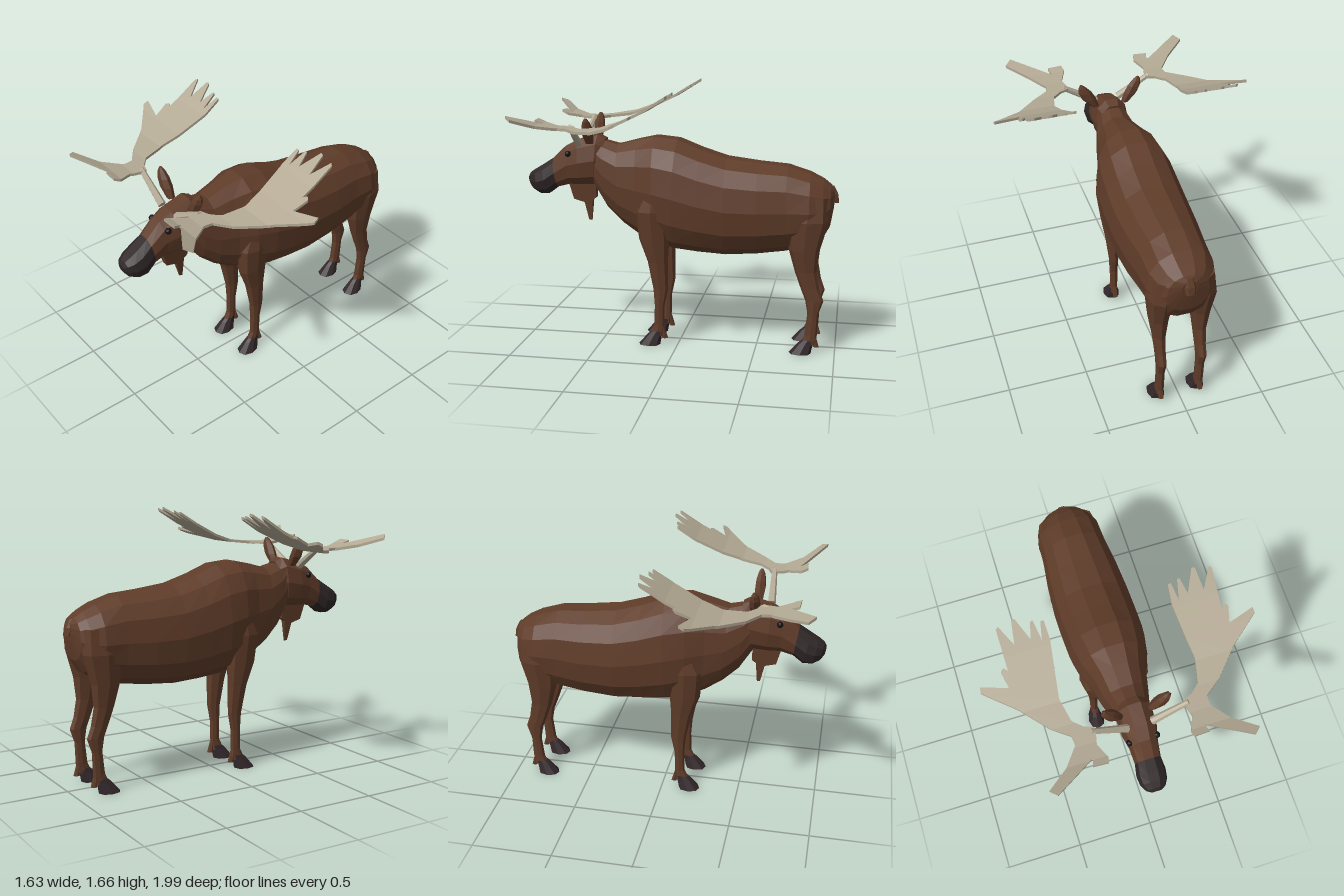
import * as THREE from 'three';

const mat = (name, color) => Object.assign(new THREE.MeshStandardMaterial({ color }), { name });
const V = (x, y, z) => new THREE.Vector3(x, y, z);

// Faceted skin over rings { c, u, v }; the rings advance along u x v.
function loft(rings, sides = 12, power = 0.88) {
  const pos = [], idx = [], n = rings.length;
  const bulge = (t) => Math.sign(t) * Math.pow(Math.abs(t), power);
  for (const { c, u, v } of rings) {
    for (let i = 0; i < sides; i++) {
      const a = (i / sides) * Math.PI * 2;
      const p = c.clone().addScaledVector(u, bulge(Math.cos(a))).addScaledVector(v, bulge(Math.sin(a)));
      pos.push(p.x, p.y, p.z);
    }
  }
  for (let r = 0; r < n - 1; r++) {
    for (let i = 0; i < sides; i++) {
      const j = (i + 1) % sides, a = r * sides, b = a + sides;
      idx.push(a + i, a + j, b + i, a + j, b + j, b + i);
    }
  }
  const end = n * sides, last = end - sides;
  pos.push(...rings[0].c.toArray(), ...rings[n - 1].c.toArray());
  for (let i = 0; i < sides; i++) {
    const j = (i + 1) % sides;
    idx.push(end, j, i, end + 1, last + i, last + j);
  }
  const g = new THREE.BufferGeometry();
  g.setAttribute('position', new THREE.Float32BufferAttribute(pos, 3));
  g.setIndex(idx);
  return flat(g);
}

function flat(g) {
  const out = g.index ? g.toNonIndexed() : g;
  out.computeVertexNormals();
  return out;
}

// Sections running towards +z: [topZ, topY, bottomZ, bottomY, halfWidth]
const trunk = (rows, sides, power) => loft(rows.map(([tz, ty, bz, by, w]) => ({
  c: V(0, (ty + by) / 2, (tz + bz) / 2), u: V(w, 0, 0), v: V(0, (ty - by) / 2, (tz - bz) / 2),
})), sides, power);

// Sections running downwards: [y, frontZ, backZ, innerX, outerX]
const limb = (rows, side, sides = 8, power = 0.85) => loft(rows.map(([y, zf, zb, xi, xo]) => ({
  c: V(side * (xi + xo) / 2, y, (zf + zb) / 2), u: V((xo - xi) / 2, 0, 0), v: V(0, 0, (zf - zb) / 2),
})), sides, power);

// Keep the part of a polygon of [x, z] points on one side of a z line
function clip(poly, z, sign) {
  const out = [];
  poly.forEach((p, i) => {
    const q = poly[(i + 1) % poly.length];
    const dp = (p[1] - z) * sign, dq = (q[1] - z) * sign;
    if (dp >= 0) out.push(p);
    if (dp * dq < 0) out.push([p[0] + (q[0] - p[0]) * dp / (dp - dq), z]);
  });
  return out;
}

// Antler outline seen from above, and its height along z
const PALM = [
  [0.265, 0.615], [0.32, 0.595], [0.375, 0.545], [0.405, 0.405], [0.375, 0.2], [0.36, 0.1],
  [0.365, 0.0], [0.385, 0.0], [0.405, 0.09], [0.425, -0.015], [0.44, -0.01], [0.465, 0.07],
  [0.52, -0.045], [0.54, -0.04], [0.56, 0.075], [0.62, -0.03], [0.635, -0.02], [0.635, 0.19],
  [0.655, 0.17], [0.675, 0.185], [0.655, 0.275], [0.81, 0.23], [0.815, 0.26], [0.64, 0.4],
  [0.5, 0.555], [0.4, 0.63], [0.395, 0.685], [0.48, 0.8], [0.605, 0.905], [0.565, 0.945],
  [0.325, 0.79], [0.34, 0.84], [0.25, 0.845], [0.24, 0.81], [0.28, 0.72], [0.265, 0.655],
];
const BENDS = [[-0.05, 1.645], [0.12, 1.54], [0.29, 1.458], [0.42, 1.415], [0.56, 1.4], [0.7, 1.405], [0.8, 1.425], [0.95, 1.495]];

function palmBand(i, side) {
  const [z0, y0] = BENDS[i], [z1, y1] = BENDS[i + 1];
  const poly = clip(clip(PALM, z0, 1), z1, -1);
  const shape = new THREE.Shape(poly.map(([x, z]) => new THREE.Vector2(side * x, -z)));
  const g = new THREE.ExtrudeGeometry(shape, { depth: 0.017, bevelEnabled: false }).rotateX(-Math.PI / 2);
  const p = g.attributes.position;
  for (let k = 0; k < p.count; k++) p.setY(k, p.getY(k) + y0 + (y1 - y0) * (p.getZ(k) - z0) / (z1 - z0));
  return flat(g);
}

export function createModel() {
  const root = new THREE.Group();
  root.name = 'moose';
  const fur = mat('brown fur', 0x5f3c29), dark = mat('dark muzzle', 0x2e2526);
  const horn = mat('hoof', 0x33282b), bone = mat('antler', 0xb3a994), black = mat('eye', 0x141213);
  const add = (name, geometry, material, parent = root) => {
    const m = new THREE.Mesh(geometry, material);
    m.name = name;
    parent.add(m);
    return m;
  };

  // Body and neck, rump to throat
  add('body', trunk([
    [-0.97, 1.03, -0.965, 0.92, 0.05], [-0.945, 1.06, -0.945, 0.8, 0.13], [-0.9, 1.095, -0.9, 0.72, 0.175],
    [-0.82, 1.135, -0.82, 0.68, 0.21], [-0.68, 1.18, -0.68, 0.635, 0.215], [-0.5, 1.195, -0.5, 0.61, 0.237],
    [-0.3, 1.22, -0.3, 0.595, 0.25], [-0.14, 1.27, -0.12, 0.605, 0.25], [0.01, 1.33, 0.03, 0.62, 0.245],
    [0.155, 1.345, 0.15, 0.655, 0.22], [0.27, 1.32, 0.26, 0.7, 0.175], [0.4, 1.285, 0.37, 0.775, 0.148],
    [0.5, 1.31, 0.47, 0.87, 0.12], [0.55, 1.33, 0.55, 1.0, 0.1],
  ], 14), fur);
  add('tail', limb([[1.05, -0.93, -0.965, -0.025, 0.025], [1.0, -0.94, -0.99, -0.035, 0.035],
    [0.95, -0.965, -0.997, -0.03, 0.03]], 1, 6), fur);

  // Head, muzzle and the hanging bell under the throat
  const seam = [0.83, 1.185, 0.8, 0.99, 0.08];
  add('head', trunk([[0.48, 1.32, 0.53, 1.03, 0.09], [0.53, 1.345, 0.55, 1.015, 0.112],
    [0.66, 1.31, 0.64, 1.01, 0.108], [0.74, 1.27, 0.72, 1.01, 0.088], seam], 10), fur);
  add('muzzle', trunk([seam, [0.9, 1.14, 0.86, 0.945, 0.09], [0.95, 1.11, 0.92, 0.945, 0.083],
    [0.985, 1.085, 0.965, 0.97, 0.06], [1.0, 1.06, 0.99, 1.005, 0.03]], 10), dark);
  const bellOutline = [[0.73, 1.03], [0.7, 0.915], [0.63, 0.895], [0.605, 0.78], [0.585, 0.775], [0.575, 0.91], [0.55, 0.93], [0.55, 1.05]];
  const bell = new THREE.ExtrudeGeometry(new THREE.Shape(bellOutline.map(([z, y]) => new THREE.Vector2(-z, y))),
    { depth: 1, bevelEnabled: false }).translate(0, 0, -0.5).rotateY(Math.PI / 2);
  const bp = bell.attributes.position;
  for (let i = 0; i < bp.count; i++) bp.setX(i, bp.getX(i) * (0.01 + 0.2 * (bp.getY(i) - 0.775)));
  add('throatBell', flat(bell), fur);

  for (const side of [1, -1]) {
    const tag = side > 0 ? 'left' : 'right';
    const eye = add(tag + 'Eye', flat(new THREE.IcosahedronGeometry(0.02, 1)), black);
    eye.position.set(side * 0.083, 1.218, 0.715);

    // Ear: a leaning leaf, rising from the skull
    const ear = [[1.29, 0.1, 0.025, 0.025], [1.35, 0.14, 0.045, 0.035], [1.4, 0.165, 0.042, 0.032],
      [1.435, 0.182, 0.026, 0.022], [1.457, 0.19, 0.008, 0.008]];
    add(tag + 'Ear', loft(ear.map(([y, x, w, d]) => ({
      c: V(side * x, y, 0.565), u: V(w, 0, 0), v: V(0, 0, -d),
    })), 6, 1), fur);

    // Antler: stem and curved palm
    const antler = new THREE.Group();
    antler.name = tag + 'Antler';
    root.add(antler);
    const from = V(side * 0.075, 1.285, 0.645), to = V(side * 0.29, 1.418, 0.635);
    const stem = add('antlerStem', flat(new THREE.CylinderGeometry(0.017, 0.025, from.distanceTo(to), 7)), bone, antler);
    stem.position.copy(from).lerp(to, 0.5);
    stem.quaternion.setFromUnitVectors(V(0, 1, 0), to.clone().sub(from).normalize());
    for (let i = 0; i < BENDS.length - 1; i++) add('antlerPalm', palmBand(i, side), bone, antler);

    // Legs
    add(tag + 'FrontLeg', limb([
      [1.0, 0.2, 0.08, 0.1, 0.205], [0.88, 0.26, 0.05, 0.07, 0.222], [0.7, 0.245, 0.05, 0.07, 0.2],
      [0.55, 0.19, 0.06, 0.085, 0.178], [0.37, 0.155, 0.06, 0.098, 0.16], [0.26, 0.147, 0.083, 0.1, 0.155],
      [0.13, 0.15, 0.085, 0.103, 0.152], [0.06, 0.185, 0.09, 0.1, 0.155]], side), fur);
    add(tag + 'HindLeg', limb([
      [1.0, -0.72, -0.93, 0.08, 0.185], [0.85, -0.68, -0.94, 0.05, 0.21], [0.67, -0.7, -0.89, 0.07, 0.19],
      [0.53, -0.74, -0.875, 0.088, 0.168], [0.42, -0.78, -0.895, 0.094, 0.16], [0.345, -0.81, -0.922, 0.097, 0.158],
      [0.26, -0.825, -0.893, 0.1, 0.155], [0.12, -0.81, -0.888, 0.102, 0.153], [0.06, -0.785, -0.88, 0.1, 0.155]], side), fur);

    // Hooves with dewclaws behind
    for (const [name, z] of [['Front', 0], ['Hind', -0.965]]) {
      add(tag + name + 'Hoof', limb([[0.09, 0.165, 0.095, 0.1, 0.155], [0.065, 0.195, 0.1, 0.095, 0.162],
        [0, 0.25, 0.112, 0.075, 0.185]].map(([y, f, b, i, o]) => [y, f + z, b + z, i, o]), side), horn);
      add(tag + name + 'Dewclaw', limb([[0.12, 0.1, 0.085, 0.11, 0.145], [0.045, 0.1, 0.062, 0.11, 0.145]]
        .map(([y, f, b, i, o]) => [y, f + z, b + z, i, o]), side, 6), fur);
    }
  }
  return root;
}
